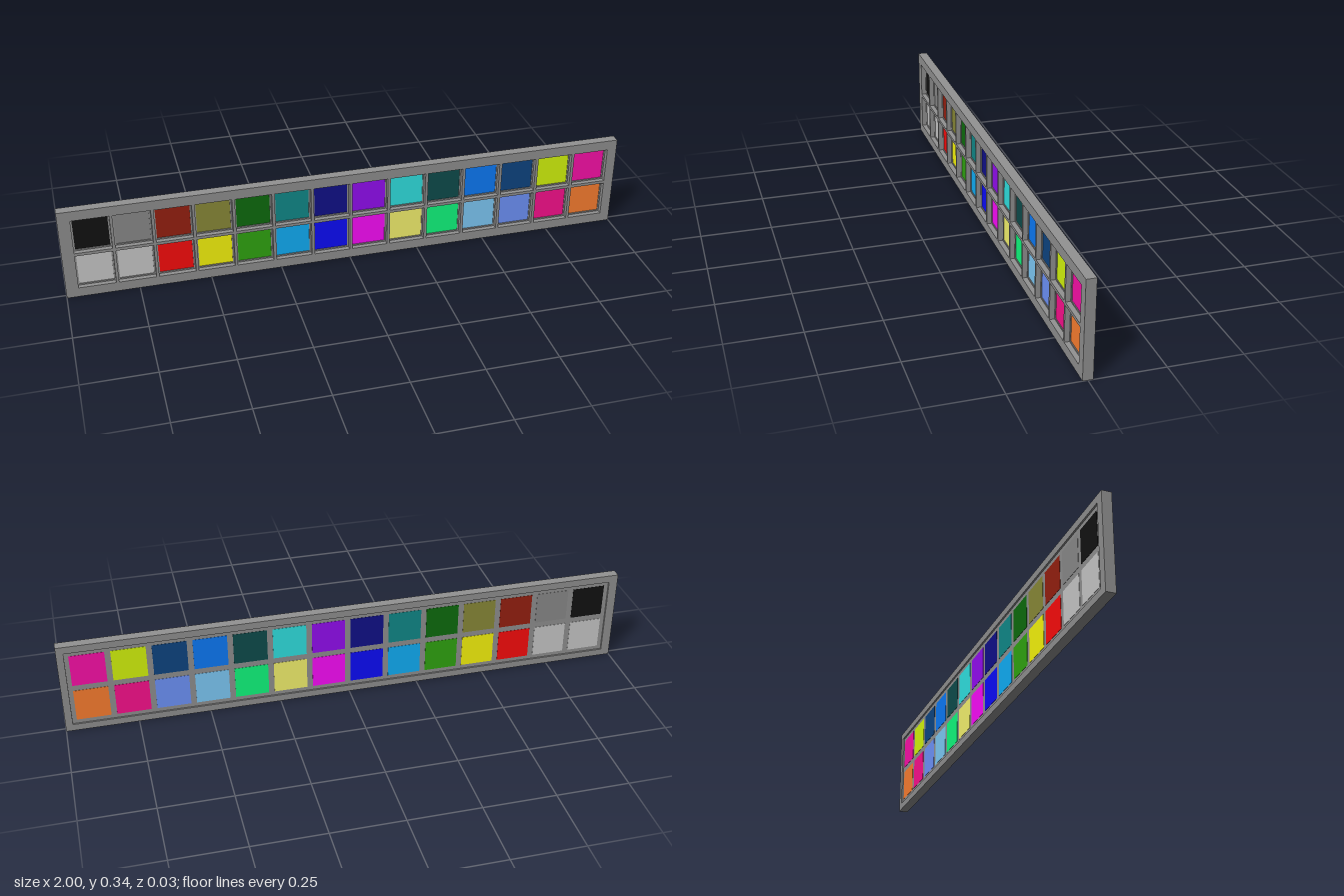
import * as THREE from 'three';

const COLS = 14, ROWS = 2, PITCH = 0.138, TILE = 0.118;
const HEIGHT = 0.338, DEPTH = 0.034;
const cellX = (c) => 0.004 + (c - (COLS - 1) / 2) * PITCH;
const cellY = (r) => 0.238 - r * 0.139;

// Swatch colours from left to right, upper row then lower row
const COLORS = [
  [0x121212, 0x8c8c8c, 0x992010, 0x8c8c38, 0x0e6e0e, 0x108c8c, 0x10108c, 0x960ef6,
    0x30e6e6, 0x0e4e4e, 0x0c7cfc, 0x0e4684, 0xd8fa0c, 0xff10ac],
  [0xcccccc, 0xcccccc, 0xff0c0c, 0xfcfa0c, 0x30a810, 0x10b2fc, 0x0c0cff, 0xff0cff,
    0xfaf870, 0x10ff80, 0x80cefc, 0x7096ff, 0xff1090, 0xff8030],
];

function rect(target, x0, y0, x1, y1) {
  target.moveTo(x0, y0);
  target.lineTo(x1, y0);
  target.lineTo(x1, y1);
  target.lineTo(x0, y1);
  target.closePath();
  return target;
}

// Full-size slab from z0 to z1 pierced by rectangular holes
function slab(name, z0, z1, bounds, holes, material) {
  const shape = rect(new THREE.Shape(), ...bounds);
  for (const h of holes) shape.holes.push(rect(new THREE.Path(), ...h));
  const geometry = new THREE.ExtrudeGeometry(shape, { depth: z1 - z0, bevelEnabled: false });
  const mesh = new THREE.Mesh(geometry, material);
  mesh.position.z = z0;
  mesh.name = name;
  return mesh;
}

// One square hole per swatch
function cellHoles(size) {
  const holes = [];
  for (let r = 0; r < ROWS; r++) {
    for (let c = 0; c < COLS; c++) {
      const x = cellX(c), y = cellY(r), h = size / 2;
      holes.push([x - h, y - h, x + h, y + h]);
    }
  }
  return holes;
}

export function createModel() {
  const model = new THREE.Group();
  model.name = 'swatchPanel';
  const grey = new THREE.MeshStandardMaterial({ color: 0x929292 });
  const outer = [-1, 0, 1, HEIGHT];

  // Front lattice, narrower ledge behind it and open rim at the back
  model.add(slab('frontLattice', 0, DEPTH / 2, outer, cellHoles(0.128), grey));
  model.add(slab('ledgeLattice', -0.011, 0, outer, cellHoles(TILE), grey));
  model.add(slab('backRim', -DEPTH / 2, -0.011, outer, [[-0.968, 0.025, 0.975, 0.312]], grey));

  // Coloured swatches held in the ledge
  const tiles = new THREE.Group();
  tiles.name = 'swatches';
  const tileGeometry = new THREE.BoxGeometry(TILE, TILE, 0.009);
  COLORS.forEach((row, r) => row.forEach((color, c) => {
    const tile = new THREE.Mesh(tileGeometry, new THREE.MeshStandardMaterial({ color }));
    tile.position.set(cellX(c), cellY(r), -0.0075);
    tile.name = `swatch_${r + 1}_${c + 1}`;
    tiles.add(tile);
  }));
  model.add(tiles);
  return model;
}
